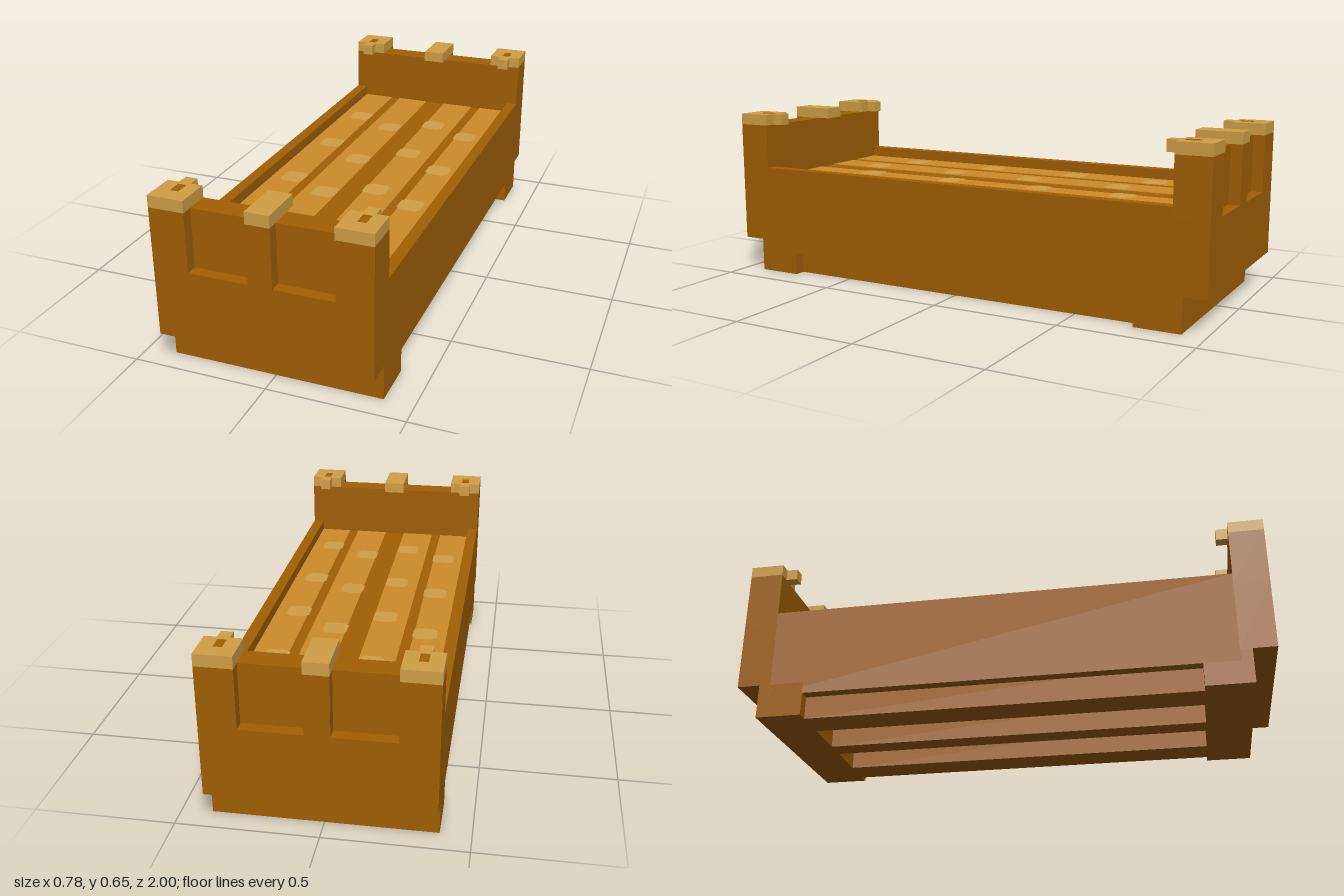
import * as THREE from 'three';

const wood = new THREE.MeshStandardMaterial({ name: 'brown wood', color: 0xa26003 });
const slatWood = new THREE.MeshStandardMaterial({ name: 'light slat wood', color: 0xcd8d2b });
const paleWood = new THREE.MeshStandardMaterial({ name: 'pale cap wood', color: 0xd1a046 });

// All main sizes are whole steps of this unit
const U = 1 / 23;

// Box given by its min and max on each axis, in units
function box(parent, name, mat, [x0, x1], [y0, y1], [z0, z1]) {
  const mesh = new THREE.Mesh(new THREE.BoxGeometry((x1 - x0) * U, (y1 - y0) * U, (z1 - z0) * U), mat);
  mesh.position.set((x0 + x1) / 2, (y0 + y1) / 2, (z0 + z1) / 2).multiplyScalar(U);
  mesh.name = name;
  parent.add(mesh);
}

// Range on one side of the centre
const side = (s, a, b) => (s > 0 ? [a, b] : [-b, -a]);

// Flat square with cut corners, lying face up
function spotGeometry(r, c) {
  const pts = [[r, -c], [r, c], [c, r], [-c, r], [-r, c], [-r, -c], [-c, -r], [c, -r]];
  const shape = new THREE.Shape(pts.map(([x, y]) => new THREE.Vector2(x, y)));
  return new THREE.ShapeGeometry(shape).rotateX(-Math.PI / 2);
}

export function createModel() {
  const bed = new THREE.Group();
  bed.name = 'bed';

  // Floor and long side boards
  box(bed, 'floor', wood, [-8, 8], [3, 9], [-20, 20]);
  for (const s of [-1, 1]) {
    box(bed, 'sideBoard', wood, side(s, 8, 9), [2, 10], [-20, 20]);
  }

  // Base: sills across both ends and three runners between them
  for (const s of [-1, 1]) {
    box(bed, 'endSill', wood, [-9, 9], [0, 3], side(s, 17, 21));
    box(bed, 'sideRunner', wood, side(s, 5, 8), [0, 3], [-17, 17]);
  }
  box(bed, 'middleRunner', wood, [-1, 1], [0, 3], [-17, 17]);

  // Thin slats with pale spots
  const spot = spotGeometry(0.046, 0.03);
  const slats = [[-8, -5], [-4.1, -1], [1, 4.1], [5, 8]];
  const spotX = [-0.26, -0.09, 0.085, 0.257];
  const spotZ = [[-0.57, -0.22, 0.17, 0.56], [-0.48, -0.09, 0.26, 0.65]];
  slats.forEach((range, i) => {
    box(bed, 'slat', slatWood, range, [9, 9.06], [-20, 20]);
    for (const z of spotZ[i % 2]) {
      const mesh = new THREE.Mesh(spot, paleWood);
      mesh.name = 'slatSpot';
      mesh.position.set(spotX[i], 9.11 * U, z);
      bed.add(mesh);
    }
  });

  // Headboard and footboard, mirrored
  for (const e of [-1, 1]) {
    const board = new THREE.Group();
    board.name = e > 0 ? 'footboard' : 'headboard';
    bed.add(board);
    const depth = side(e, 20, 23);
    box(board, 'lowerBoard', wood, [-9, 9], [3, 9], depth);
    box(board, 'middlePost', wood, [-1, 1], [9, 14], depth);
    box(board, 'middleCap', paleWood, [-1, 1], [14, 15], side(e, 19, 23));
    for (const s of [-1, 1]) {
      box(board, 'recessedPanel', wood, side(s, 1, 6), [9, 14], side(e, 20, 22));
      box(board, 'cornerPost', wood, side(s, 6, 9), [9, 14], depth);
      box(board, 'cornerCap', paleWood, side(s, 6, 9), [14, 15], depth);
      box(board, 'capTab', paleWood, side(s, 7, 8), [14, 15], side(e, 19, 20));
      // Small dark mark on the cap
      box(board, 'capMark', wood, side(s, 7.15, 7.85), [14.95, 15.02], side(e, 20.4, 21.6));
    }
  }
  return bed;
}
